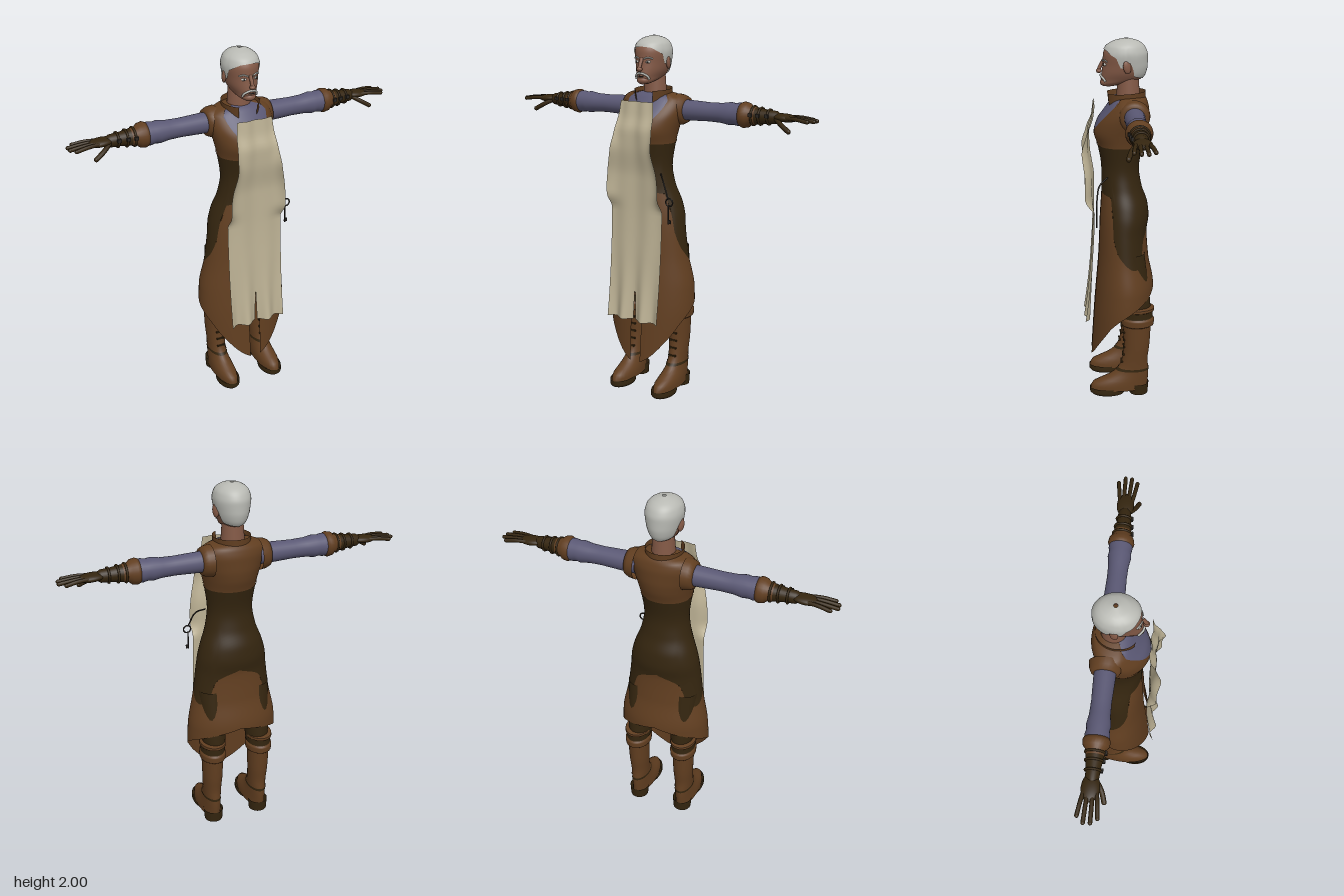
import * as THREE from 'three';
import { mergeVertices } from 'three/addons/utils/BufferGeometryUtils.js';

const mat = (name, color, side = THREE.FrontSide) => new THREE.MeshStandardMaterial({ name, color, side });

// smooth monotone interpolation of column k in a table sorted by column 0
function sample(t, x, k = 1) {
  const n = t.length;
  if (x <= t[0][0]) return t[0][k];
  if (x >= t[n - 1][0]) return t[n - 1][k];
  let i = 0;
  while (x > t[i + 1][0]) i++;
  const slope = j => (t[j + 1][k] - t[j][k]) / (t[j + 1][0] - t[j][0]);
  const tangent = j => {
    if (j === 0) return slope(0);
    if (j === n - 1) return slope(n - 2);
    const a = slope(j - 1), b = slope(j);
    return a * b <= 0 ? 0 : 2 * a * b / (a + b);
  };
  const h = t[i + 1][0] - t[i][0], s = (x - t[i][0]) / h, s2 = s * s, s3 = s2 * s;
  return (2 * s3 - 3 * s2 + 1) * t[i][k] + (s3 - 2 * s2 + s) * h * tangent(i)
    + (3 * s2 - 2 * s3) * t[i + 1][k] + (s3 - s2) * h * tangent(i + 1);
}

// grid surface from a function of u, v in 0..1
function surface(fn, nu, nv) {
  const pos = [], idx = [];
  for (let i = 0; i <= nu; i++) for (let j = 0; j <= nv; j++) pos.push(...fn(i / nu, j / nv));
  for (let i = 0; i < nu; i++) for (let j = 0; j < nv; j++) {
    const a = i * (nv + 1) + j, b = a + nv + 1;
    idx.push(a, b, b + 1, a, b + 1, a + 1);
  }
  let g = new THREE.BufferGeometry();
  g.setAttribute('position', new THREE.Float32BufferAttribute(pos, 3));
  g.setIndex(idx);
  g = mergeVertices(g, 1e-5);
  g.computeVertexNormals();
  return g;
}

// part of an upright body with sections [y, halfWidth, zFront, zBack];
// low and high are heights or tables of [angle from the front, height]
function wrap(sections, low, high, { grow = 0, gap = 0, nu = 56, nv = 20 } = {}) {
  const level = (e, a) => (typeof e === 'number' ? e : sample(e, a));
  return surface((u, v) => {
    const th = gap + u * (2 * Math.PI - 2 * gap), a = Math.acos(Math.cos(th));
    const y0 = level(low, a), y = y0 + (level(high, a) - y0) * v;
    const rx = sample(sections, y, 1) + grow, zf = sample(sections, y, 2) + grow, zb = sample(sections, y, 3) - grow;
    return [rx * Math.sin(th), y, (zf + zb) / 2 + (zf - zb) / 2 * Math.cos(th)];
  }, nu, nv);
}

const BODY = [
  [0.2, 0.235, 0.165, -0.19], [0.5, 0.26, 0.145, -0.19], [0.62, 0.255, 0.135, -0.19], [0.8, 0.222, 0.12, -0.16],
  [0.95, 0.203, 0.113, -0.15], [1.03, 0.193, 0.11, -0.16], [1.1, 0.175, 0.105, -0.153], [1.2, 0.14, 0.1, -0.12],
  [1.3, 0.125, 0.1, -0.105], [1.43, 0.14, 0.12, -0.128], [1.5, 0.155, 0.14, -0.15], [1.56, 0.17, 0.125, -0.158],
  [1.62, 0.18, 0.085, -0.158], [1.66, 0.172, 0.055, -0.15], [1.685, 0.13, 0.035, -0.14], [1.7, 0.06, 0.01, -0.11]];
const HEM = [[0, 0.18], [0.3, 0.22], [0.85, 0.36], [1.13, 0.44], [1.48, 0.5], [2.2, 0.57], [3.1416, 0.63]];
const DARK_EDGE = [[0, 1.17], [0.95, 1.16], [1.1, 0.95], [1.4, 0.84], [2, 0.77], [2.25, 0.79], [2.5, 0.92], [3.1416, 0.98]];
const NECKLINE = [[0, 1.5], [0.45, 1.56], [0.8, 1.66], [1, 1.7], [3.1416, 1.7]];
const HEAD = [
  [1.745, 0.018, 0.085, 0.03], [1.757, 0.04, 0.096, -0.01], [1.785, 0.06, 0.099, -0.115], [1.82, 0.076, 0.095, -0.135],
  [1.86, 0.084, 0.09, -0.142], [1.91, 0.091, 0.088, -0.142], [1.95, 0.082, 0.072, -0.128], [1.98, 0.052, 0.03, -0.095],
  [1.995, 0.004, -0.03, -0.038]];
const HAIRLINE = [[0, 1.94], [0.5, 1.935], [0.9, 1.915], [1.2, 1.895], [1.35, 1.85], [1.55, 1.85], [1.7, 1.88],
  [1.9, 1.85], [2.1, 1.8], [3.1416, 1.785]];
const BOOT = [
  [0.03, 0.06, 0.172, -0.152], [0.06, 0.06, 0.168, -0.154], [0.085, 0.056, 0.125, -0.156], [0.11, 0.052, 0.07, -0.158],
  [0.15, 0.048, 0.02, -0.158], [0.2, 0.05, -0.005, -0.153], [0.3, 0.056, -0.018, -0.163], [0.43, 0.06, -0.015, -0.17]];
const CUFF = [
  [0.42, 0.06, -0.015, -0.17], [0.43, 0.072, -0.004, -0.186], [0.46, 0.073, -0.002, -0.187], [0.475, 0.066, -0.01, -0.178],
  [0.51, 0.067, -0.008, -0.178], [0.515, 0.073, -0.002, -0.188], [0.53, 0.072, -0.004, -0.188], [0.535, 0.05, -0.03, -0.16]];
const PANTS = [[0.48, 0.06, -0.015, -0.17], [0.56, 0.066, -0.008, -0.165], [0.85, 0.075, 0.03, -0.13]];
const SOLE = [[0, 0.058, 0.165, -0.02], [0.015, 0.063, 0.176, -0.02], [0.04, 0.062, 0.176, -0.03]];
const HEEL = [[0, 0.052, -0.05, -0.155], [0.065, 0.056, -0.04, -0.16]];

export function createModel() {
  const leather = mat('brown leather', 0x613e20, THREE.DoubleSide);
  const dark = mat('dark leather', 0x34250f, THREE.DoubleSide);
  const linen = mat('apron linen', 0xbcb194, THREE.DoubleSide);
  const cloth = mat('blue cloth', 0x5a5874, THREE.DoubleSide);
  const skin = mat('skin', 0x835946);
  const hair = mat('grey hair', 0xb9bab4, THREE.DoubleSide);
  const white = mat('eye white', 0xc8c4bc);
  const iron = mat('dark iron', 0x2a2622);

  const model = new THREE.Group();
  const add = (parent, name, geo, material, p = [0, 0, 0], r = [0, 0, 0], s = [1, 1, 1]) => {
    const m = new THREE.Mesh(geo, material);
    m.name = name;
    m.position.set(...p); m.rotation.set(...r); m.scale.set(...s);
    parent.add(m);
    return m;
  };
  const ball = new THREE.SphereGeometry(1, 24, 16);
  const tube = (pts, r, n = 16) =>
    new THREE.TubeGeometry(new THREE.CatmullRomCurve3(pts.map(p => new THREE.Vector3(...p))), n, r, 8);

  // dress: one body surface cut into colour panels
  add(model, 'skirt', wrap(BODY, HEM, DARK_EDGE, { gap: 0.13, nu: 80, nv: 30 }), leather);
  add(model, 'bodice', wrap(BODY, DARK_EDGE, 1.435, { nu: 80, nv: 30 }), dark);
  add(model, 'vest', wrap(BODY, 1.435, NECKLINE, { nu: 64 }), leather);
  add(model, 'vestHem', wrap(BODY, 1.432, 1.442, { grow: 0.003, nv: 2 }), leather);
  add(model, 'shirtFront', wrap(BODY, NECKLINE, 1.7, { nu: 64 }), cloth);
  add(model, 'collar', new THREE.CylinderGeometry(1, 0.96, 0.06, 40, 2, true, 0.55, 2 * Math.PI - 1.1),
    leather, [0, 1.685, -0.03], [0.05, 0, 0], [0.1, 1, 0.11]);

  // head
  const head = new THREE.Group();
  head.name = 'head';
  model.add(head);
  add(head, 'neck', new THREE.CylinderGeometry(0.054, 0.066, 0.18, 28), skin, [0, 1.73, -0.045]);
  add(head, 'face', wrap(HEAD, 1.745, 1.96, { nu: 48, nv: 28 }), skin);
  add(head, 'chin', ball, skin, [0, 1.765, 0.075], [0, 0, 0], [0.034, 0.022, 0.03]);
  add(head, 'hair', wrap(HEAD, HAIRLINE, 1.995, { grow: 0.006, nu: 64, nv: 24 }), hair);
  add(head, 'noseBridge', tube([[0, 1.88, 0.085], [0, 1.855, 0.1], [0, 1.828, 0.112]], 0.01), skin);
  add(head, 'noseTip', ball, skin, [0, 1.825, 0.11], [0, 0, 0], [0.016, 0.012, 0.015]);
  for (const s of [1, -1]) {
    add(head, 'ear', ball, skin, [s * 0.088, 1.855, -0.035], [0.15, s * 0.4, 0], [0.012, 0.036, 0.022]);
    add(head, 'eye', ball, white, [s * 0.034, 1.862, 0.079], [0, s * 0.4, 0], [0.014, 0.007, 0.008]);
    add(head, 'pupil', ball, iron, [s * 0.034, 1.862, 0.084], [0, s * 0.4, 0], [0.006, 0.006, 0.005]);
    add(head, 'eyebrow', tube([[s * 0.014, 1.878, 0.091], [s * 0.036, 1.885, 0.082], [s * 0.056, 1.878, 0.067]], 0.004), hair);
    add(head, 'moustache', tube([[0, 1.804, 0.1], [s * 0.02, 1.8, 0.099], [s * 0.037, 1.785, 0.084], [s * 0.04, 1.772, 0.076]], 0.006), hair);
  }
  add(head, 'mouth', ball, iron, [0, 1.787, 0.098], [0, 0, 0], [0.018, 0.003, 0.004]);

  // apron: half sheet with curled edges, wavy hem and a short centre slit
  const WIDTH = [[0.45, 0.162], [1.2, 0.162], [1.28, 0.155], [1.4, 0.13], [1.55, 0.112], [1.66, 0.1]];
  const DEPTH = [[0.45, 0.168], [0.8, 0.152], [1.1, 0.14], [1.25, 0.14], [1.42, 0.162], [1.5, 0.165], [1.58, 0.145], [1.66, 0.135]];
  const CURL = [[1.08, 0], [1.16, 0.05], [1.4, 0.045], [1.5, 0.015], [1.6, 0]];
  const apron = surface((u, v) => {
    const y = 0.45 + 1.21 * v, slit = 0.007 * Math.max(0, (0.66 - y) / 0.21), low = Math.max(0, (0.95 - y) / 0.5);
    const x = slit + u * (sample(WIDTH, y) - slit);
    const fold = 0.016 * low * low * (1 - Math.cos(u * 9)) * 0.9 + 0.004 * (1 - Math.cos(u * 7 + 0));
    return [x, y, sample(DEPTH, y) + fold + sample(CURL, y) * u ** 4];
  }, 28, 60);

  // parts that repeat on both sides, built for +x and mirrored
  for (const s of [1, -1]) {
    const half = new THREE.Group();
    half.name = s > 0 ? 'leftSide' : 'rightSide';
    half.scale.x = s;
    model.add(half);
    add(half, 'apron', apron, linen);

    // arm, turned from profiles of [radius, distance from the centre]
    const arm = new THREE.Group();
    arm.name = 'arm';
    arm.position.set(0, 1.605, -0.07);
    half.add(arm);
    const turned = (name, pts, m, flat = 1) => add(arm, name,
      new THREE.LatheGeometry(pts.map(p => new THREE.Vector2(...p)), 28).rotateZ(-Math.PI / 2), m, [0, 0, 0], [0, 0, 0], [1, 1, flat]);
    turned('armhole', [[0.085, 0.13], [0.08, 0.165], [0.07, 0.186], [0.05, 0.188]], leather);
    turned('sleeve', [[0.056, 0.13], [0.054, 0.22], [0.05, 0.33], [0.052, 0.4], [0.06, 0.45], [0.056, 0.475], [0.061, 0.5], [0.058, 0.535]], cloth);
    turned('gloveCuff', [[0.045, 0.6], [0.05, 0.57], [0.063, 0.555], [0.068, 0.53], [0.062, 0.515], [0.05, 0.51]].reverse(), leather);
    turned('gauntlet', [[0.05, 0.54], [0.044, 0.6], [0.036, 0.66], [0.033, 0.71], [0.02, 0.73]], dark);
    for (const [x, r] of [[0.585, 0.048], [0.625, 0.043], [0.672, 0.038]]) {
      add(arm, 'strap', new THREE.TorusGeometry(r, 0.006, 8, 28), dark, [x, 0, 0], [0, Math.PI / 2, 0]);
      add(arm, 'buckle', new THREE.BoxGeometry(0.02, 0.018, 0.012), iron, [x, 0.008, r + 0.004]);
    }
    // gloved hand
    add(arm, 'palm', ball, dark, [0.755, 0.002, -0.002], [0, 0, -0.05], [0.07, 0.021, 0.045]);
    [[-0.042, 0.9], [-0.015, 0.93], [0.013, 0.928], [0.039, 0.905]].forEach(([z, end]) => {
      add(arm, 'finger', tube([[0.77, 0.004, z * 0.75], [0.83, 0.004, z], [end - 0.012, -0.004, z * 1.2]], 0.0105), dark);
      add(arm, 'fingertip', ball, dark, [end - 0.012, -0.004, z * 1.2], [0, 0, 0], [0.012, 0.0105, 0.0105]);
    });
    add(arm, 'thumb', tube([[0.715, -0.004, 0.02], [0.76, -0.03, 0.05], [0.805, -0.056, 0.066]], 0.0125), dark);
    add(arm, 'thumbTip', ball, dark, [0.805, -0.056, 0.066], [0, 0, 0], [0.0125, 0.0125, 0.0125]);

    // leg and boot
    const leg = new THREE.Group();
    leg.name = 'leg';
    leg.position.x = 0.141;
    half.add(leg);
    const o = { nu: 32, nv: 20 };
    add(leg, 'trouser', wrap(PANTS, 0.48, 0.85, o), dark, [-0.01, 0, 0]);
    add(leg, 'boot', wrap(BOOT, 0.03, 0.43, o), leather);
    add(leg, 'bootCuff', wrap(CUFF, 0.42, 0.472, o), leather);
    add(leg, 'bootBand', wrap(CUFF, 0.472, 0.513, o), dark);
    add(leg, 'bootRim', wrap(CUFF, 0.513, 0.535, o), leather);
    add(leg, 'sole', wrap(SOLE, 0, 0.04, o), dark);
    add(leg, 'soleBottom', new THREE.CircleGeometry(1, 32), dark, [0, 0.002, 0.0725], [Math.PI / 2, 0, 0], [0.058, 0.0925, 1]);
    add(leg, 'arch', new THREE.BoxGeometry(0.085, 0.03, 0.12), dark, [0, 0.042, -0.03]);
    add(leg, 'heel', wrap(HEEL, 0, 0.065, o), dark);
    add(leg, 'heelBottom', new THREE.CircleGeometry(1, 32), dark, [0, 0.001, -0.1025], [Math.PI / 2, 0, 0], [0.052, 0.0525, 1]);
    for (let i = 0; i < 5; i++) {
      const y = 0.2 + i * 0.045;
      add(leg, 'lace', new THREE.BoxGeometry(0.045, 0.009, 0.012), dark, [0, y, sample(BOOT, y, 2) - 0.001]);
    }
    add(leg, 'ankleStrap', wrap(BOOT, 0.145, 0.16, { grow: 0.003, nu: 32, nv: 2 }), dark);
  }

  // key hanging from the left hip
  const key = new THREE.Group();
  key.name = 'key';
  model.add(key);
  add(key, 'cord', tube([[0.11, 1.27, 0.07], [0.155, 1.235, 0.115], [0.192, 1.158, 0.13]], 0.004), iron);
  add(key, 'keyRing', new THREE.TorusGeometry(0.021, 0.004, 8, 24), iron, [0.2, 1.137, 0.13]);
  add(key, 'keyShaft', new THREE.CylinderGeometry(0.004, 0.004, 0.1, 8), iron, [0.195, 1.067, 0.13]);
  add(key, 'keyBit', new THREE.BoxGeometry(0.018, 0.02, 0.006), iron, [0.2, 1.03, 0.13]);
  return model;
}
